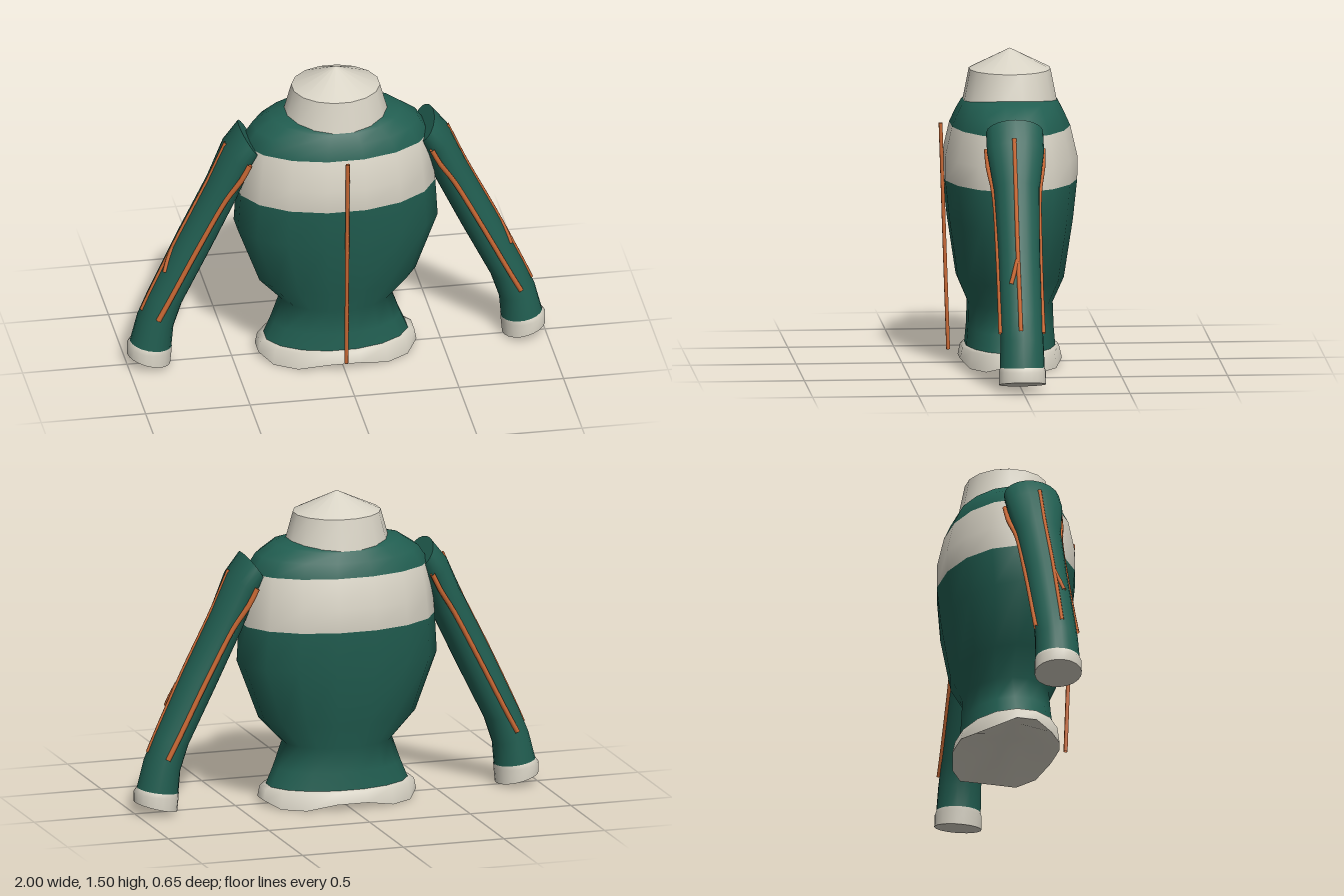
import * as THREE from 'three';

const mat = (name, color) => {
  const m = new THREE.MeshStandardMaterial({ color, side: THREE.DoubleSide });
  m.name = name;
  return m;
};

// Skins a list of equal-length closed rings, bottom ring first; mats gives one material index per span
function loft(rings, spans = []) {
  const n = rings[0].length, pos = [], idx = [];
  const g = new THREE.BufferGeometry();
  rings.forEach(r => r.forEach(p => pos.push(p.x, p.y, p.z)));
  for (let i = 0; i < rings.length - 1; i++) {
    g.addGroup(idx.length, n * 6, spans[i] ?? 0);
    for (let j = 0; j < n; j++) {
      const a = i * n + j, b = i * n + (j + 1) % n;
      idx.push(a, b, b + n, a, b + n, a + n);
    }
  }
  g.setAttribute('position', new THREE.Float32BufferAttribute(pos, 3));
  g.setIndex(idx);
  g.computeVertexNormals();
  return g;
}

// Horizontal oval; wave lowers the diagonals, lift raises the sides
function oval([y, rx, rz, wave = 0, lift = 0], n = 16) {
  return Array.from({ length: n }, (_, j) => {
    const t = (j + 0.5) / n * Math.PI * 2;
    return new THREE.Vector3(rx * 1.015 * Math.sin(t),
      y + wave * Math.cos(4 * t) + lift * Math.sin(t) ** 2, rz * Math.cos(t) - 0.01);
  });
}

// Tilted sleeve section spanning an inner and an outer point; size 0 collapses it to its centre
function sleeveRing([ox, oy, ix, iy, rz], s, size = 1, n = 20) {
  return Array.from({ length: n }, (_, j) => {
    const t = s * j / n * Math.PI * 2, k = Math.sin(t) * size / 2;
    return new THREE.Vector3(s * ((ox + ix) / 2 + (ox - ix) * k),
      (oy + iy) / 2 + (oy - iy) * k, rz * size * Math.cos(t));
  });
}

export function createModel() {
  const green = mat('green cloth', 0x215e51);
  const cream = mat('cream cloth', 0xd8d3c5);
  const orange = mat('orange piping', 0xcc6a35);
  const root = new THREE.Group();
  root.name = 'jacket';
  const add = (name, geo, material, parent = root) => {
    const m = new THREE.Mesh(geo, material);
    m.name = name;
    parent.add(m);
  };
  const pipe = (name, pts, r, parent) => {
    const curve = new THREE.CatmullRomCurve3(pts.map(p => new THREE.Vector3(...p)));
    add(name, new THREE.TubeGeometry(curve, 20, r, 6), orange, parent);
  };

  // Body with a cream chest band
  const body = [
    [0.085, 0.345, 0.215], [0.18, 0.305, 0.207], [0.30, 0.262, 0.203], [0.42, 0.375, 0.255],
    [0.70, 0.48, 0.297], [0.89, 0.468, 0.318], [1.0, 0.458, 0.319], [1.145, 0.44, 0.285],
    [1.21, 0.39, 0.255, 0, 0.01], [1.255, 0.31, 0.23, 0, 0.018], [1.268, 0.235, 0.21, 0, 0.02],
  ];
  add('body', loft(body.map(r => oval(r)), [0, 0, 0, 0, 0, 1, 1, 0, 0, 0]), [green, cream]);

  // Hem and its recessed underside
  const hemEdge = [0.022, 0.38, 0.245, 0.02];
  add('hem', loft([hemEdge, [0.088, 0.37, 0.234], [0.098, 0.335, 0.21]].map(r => oval(r))), cream);
  add('hemUnderside', loft([[0.1, 0, 0], [0.1, 0.18, 0.11], hemEdge].map(r => oval(r))), cream);

  // Collar with a shallow pointed top
  const collarTop = [1.408, 0.207, 0.194];
  add('collar', loft([[1.255, 0.245, 0.224, 0, 0.015], collarTop].map(r => oval(r))), cream);
  add('collarCap', loft([collarTop, [1.505, 0, 0]].map(r => oval(r))), cream);

  // Front closure
  pipe('frontZip', [[0, 1.15, 0.317], [0, 0.6, 0.299], [0, 0.07, 0.281]], 0.01);

  // Sleeve sections: outer x, y, inner x, y, half depth
  const sleeve = [
    [0.985, 0.125, 0.79, 0.095, 0.106], [0.95, 0.26, 0.78, 0.21, 0.102], [0.90, 0.38, 0.74, 0.33, 0.099],
    [0.76, 0.68, 0.60, 0.61, 0.1], [0.62, 0.96, 0.475, 0.87, 0.108],
    [0.54, 1.14, 0.415, 1.03, 0.135], [0.465, 1.235, 0.375, 1.10, 0.135],
  ];
  const cuff = [[1.0, 0.065, 0.795, 0.015, 0.112], [1.0, 0.112, 0.788, 0.085, 0.112],
    [0.985, 0.132, 0.787, 0.105, 0.106]];
  for (const s of [1, -1]) {
    const arm = new THREE.Group();
    arm.name = s > 0 ? 'leftSleeve' : 'rightSleeve';
    root.add(arm);
    add('sleeve', loft(sleeve.map(r => sleeveRing(r, s))), green, arm);
    const top = sleeve[sleeve.length - 1];
    add('sleeveTop', loft([sleeveRing(top, s), sleeveRing(top, s, 0)]), green, arm);
    add('cuff', loft(cuff.map(r => sleeveRing(r, s))), cream, arm);
    add('cuffEnd', loft([sleeveRing(cuff[0], s, 0), sleeveRing(cuff[0], s)]), cream, arm);
    // Piping along the front, back and outside of the sleeve
    for (const f of [1, -1]) {
      pipe(f > 0 ? 'frontPiping' : 'backPiping', [[0.435, 1.09, 0.133], [0.475, 1.01, 0.128],
        [0.545, 0.9, 0.107], [0.68, 0.645, 0.099], [0.82, 0.37, 0.098], [0.868, 0.28, 0.099]]
        .map(([x, y, z]) => [s * x, y, f * z]), 0.013, arm);
    }
    pipe('outerPiping', [[0.53, 1.155, 0.01], [0.617, 0.96, 0.01], [0.757, 0.68, 0.012],
      [0.897, 0.38, 0.01], [0.932, 0.3, 0.01]].map(([x, y, z]) => [s * x, y, z]), 0.01, arm);
    // Short branch of the outer piping
    pipe('outerPipingBranch', [[0.787, 0.62, 0.015], [0.815, 0.555, 0.034], [0.83, 0.51, 0.048]]
      .map(([x, y, z]) => [s * x, y, z]), 0.01, arm);
  }
  return root;
}
